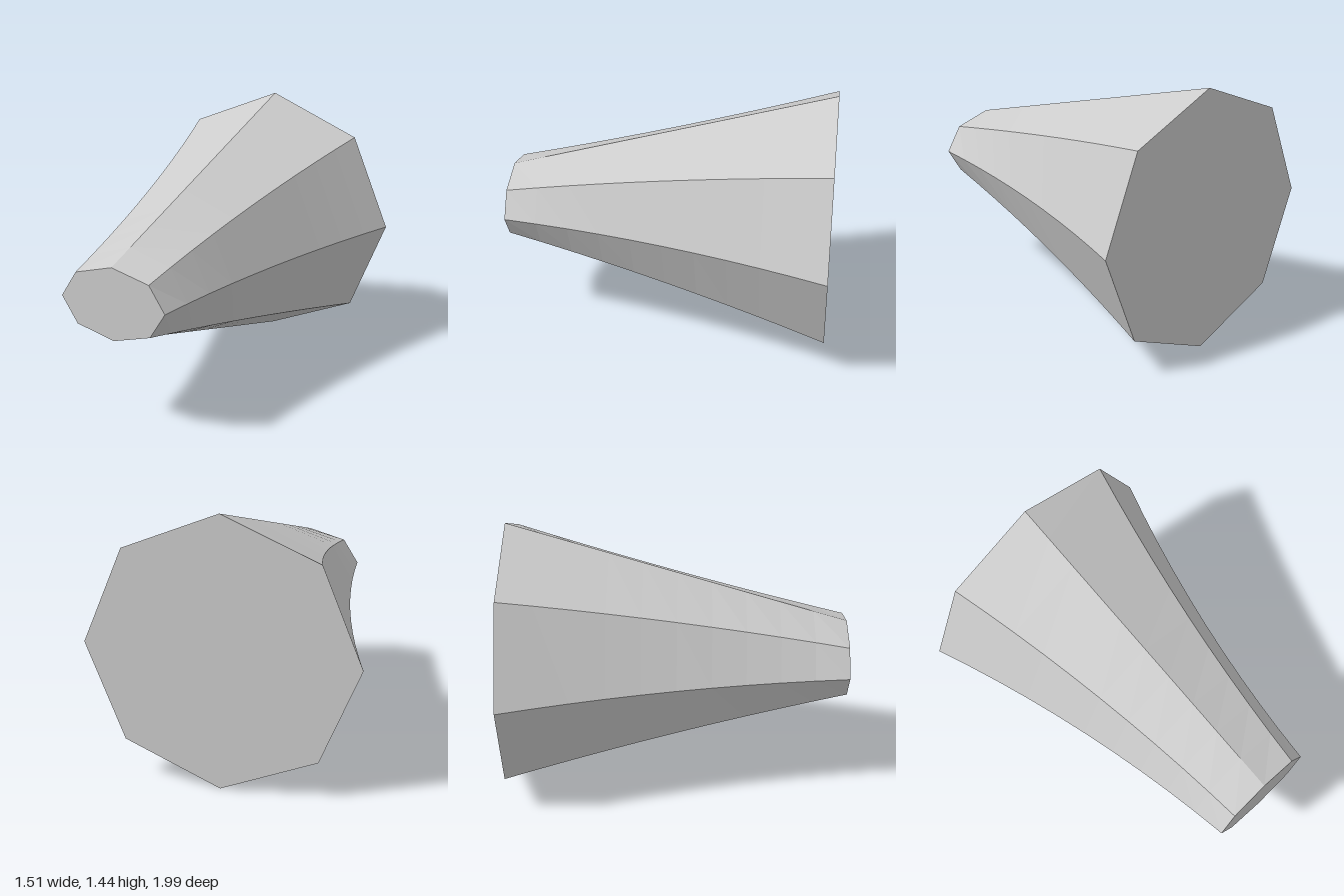
import * as THREE from 'three';

const SIDES = 8;
const STEPS = 10;
const back = new THREE.Vector3(0.066, 0.72, -0.79);
const front = new THREE.Vector3(-0.473, 0.72, 0.905);
const across = new THREE.Vector3(0.956, 0, 0.293); // tilted width direction

// Point on the octagonal section at t (0 = wide back end, 1 = narrow front end)
function sectionPoint(t, j) {
  const angle = (j / SIDES) * Math.PI * 2;
  const waist = 0.055 * 4 * t * (1 - t); // sides pinch in along the length
  const halfWidth = THREE.MathUtils.lerp(0.717, 0.296, t) - waist;
  const halfHeight = THREE.MathUtils.lerp(0.718, 0.192, t);
  const p = back.clone().lerp(front, t);
  p.addScaledVector(across, halfWidth * Math.cos(angle));
  p.y += halfHeight * Math.sin(angle);
  return p;
}

function fromTriangles(points) {
  const geometry = new THREE.BufferGeometry().setFromPoints(points);
  geometry.computeVertexNormals();
  return geometry;
}

// Tapered faceted side wall
function wallGeometry() {
  const points = [];
  for (let i = 0; i < STEPS; i++) {
    for (let j = 0; j < SIDES; j++) {
      const a = sectionPoint(i / STEPS, j);
      const b = sectionPoint(i / STEPS, j + 1);
      const c = sectionPoint((i + 1) / STEPS, j + 1);
      const d = sectionPoint((i + 1) / STEPS, j);
      points.push(a, b, c, a, c, d);
    }
  }
  return fromTriangles(points);
}

// Flat octagonal end
function capGeometry(t) {
  const points = [];
  const centre = back.clone().lerp(front, t);
  for (let j = 0; j < SIDES; j++) {
    const a = sectionPoint(t, j);
    const b = sectionPoint(t, j + 1);
    points.push(centre, ...(t === 1 ? [a, b] : [b, a]));
  }
  return fromTriangles(points);
}

export function createModel() {
  const group = new THREE.Group();
  group.name = 'taperedHorn';
  const grey = new THREE.MeshStandardMaterial({ color: 0xcccccc, flatShading: true });
  grey.name = 'light grey';

  const add = (name, geometry) => {
    const mesh = new THREE.Mesh(geometry, grey);
    mesh.name = name;
    group.add(mesh);
  };
  add('sideWall', wallGeometry());
  add('backEnd', capGeometry(0));
  add('frontEnd', capGeometry(1));
  return group;
}
